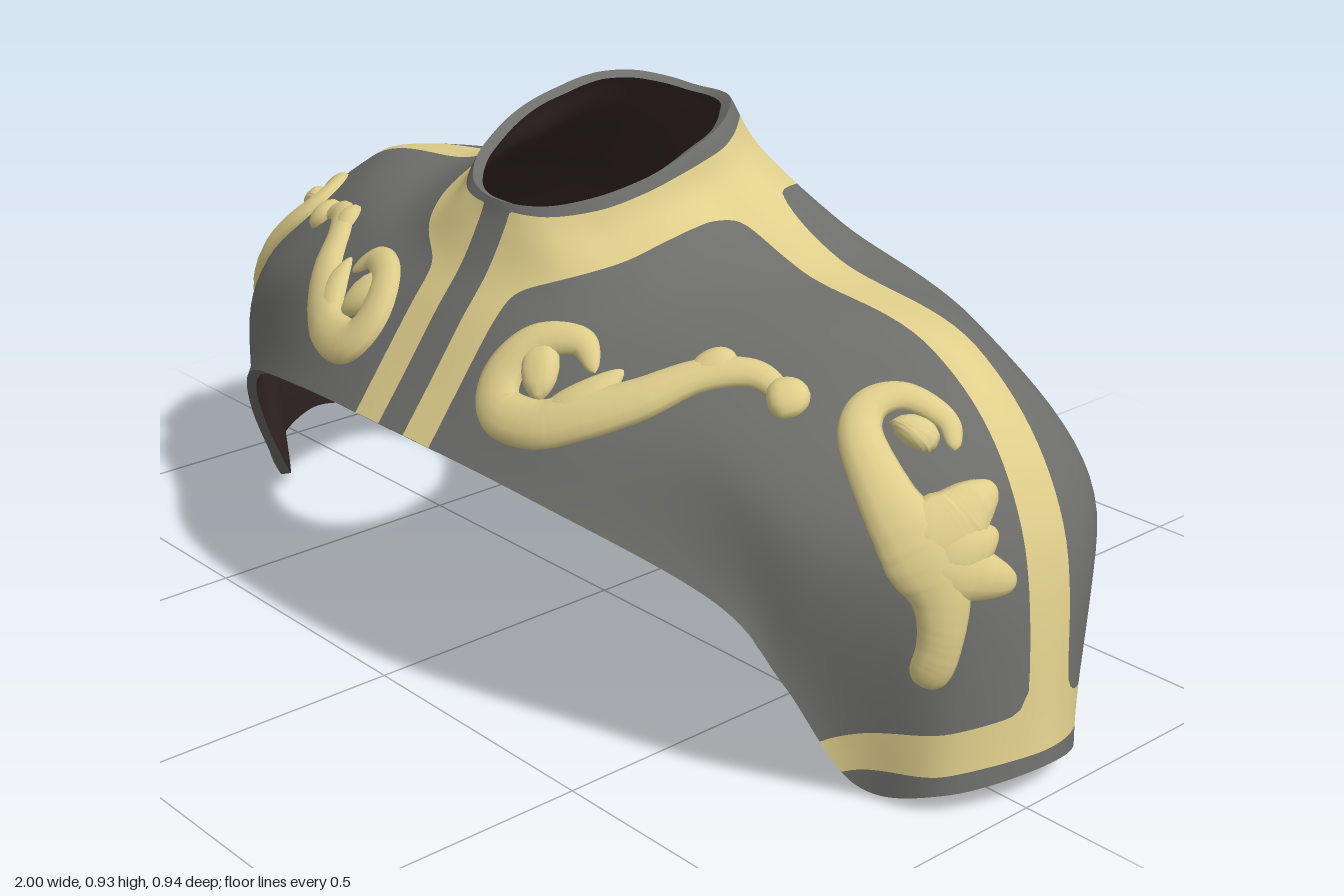
import * as THREE from 'three';

const V = (x, y, z) => new THREE.Vector3(x, y, z);
const material = (name, color) => Object.assign(new THREE.MeshStandardMaterial({ color }), { name });
const NU = 286, NT = 60, THICK = 0.02;

// Cross-section lines running from neck to hem, front centre round to the shoulder
const FRONT = [
  [0, .80, .235, 0, .76, .25, 0, .69, .29, 0, .62, .345, 0, .53, .41, 0, .45, .47],
  [.092, .805, .212, .12, .757, .235, .17, .69, .265, .23, .62, .32, .29, .53, .385, .34, .425, .44],
  [.158, .825, .155, .20, .765, .165, .30, .70, .19, .43, .64, .225, .55, .52, .295, .64, .33, .335],
  [.195, .85, .085, .235, .785, .095, .36, .715, .11, .58, .655, .125, .73, .46, .25, .735, .205, .275],
  [.208, .872, .03, .25, .80, .03, .40, .725, .03, .67, .665, .035, .84, .43, .17, .80, .02, .175],
  [.208, .89, -.02, .255, .805, -.025, .43, .725, -.03, .72, .67, -.03, .91, .44, .065, .93, .035, .115],
];
// Shoulder ridge round to the back centre
const BACK = [
  [.20, .905, -.07, .26, .815, -.08, .45, .725, -.08, .75, .665, -.08, .935, .44, -.06, 1, .06, -.04],
  [.187, .917, -.105, .25, .825, -.115, .435, .725, -.13, .73, .655, -.15, .935, .41, -.18, .945, .035, -.175],
  [.163, .927, -.14, .225, .835, -.155, .41, .725, -.185, .69, .64, -.215, .87, .39, -.285, .77, .005, -.23],
  [.122, .93, -.18, .175, .84, -.21, .33, .73, -.26, .54, .63, -.31, .70, .42, -.365, .69, .145, -.32],
  [.065, .925, -.208, .095, .84, -.24, .17, .735, -.30, .27, .62, -.37, .33, .45, -.44, .35, .285, -.45],
  [0, .92, -.217, 0, .84, -.245, 0, .74, -.30, 0, .62, -.37, 0, .46, -.44, 0, .34, -.472],
];

// Trim rule: positive inside the gold bands, negative on the plain cloth
function trim(p, t) {
  const ax = Math.abs(p.x), sag = 0.8 * (p.z + 0.04) ** 2, k = 0.016;
  const bands = [
    0.102 - ax,                                                        // front and back strips
    (0.25 + Math.max(0, 0.28 - ax) - t) * 0.5,                         // collar
    ax > 0.2 ? 0.045 - Math.abs(p.z + 0.05 + 0.055 * p.y) : -1,        // shoulder ridge
    0.155 - sag - p.y,                                                 // sleeve cuffs
  ];
  const union = k * Math.log(bands.reduce((s, b) => s + Math.exp(b / k), 0));
  return Math.min(union, ax - 0.034, (t - 0.065) * 0.5, p.y - 0.085 + sag);
}

// Sampled outer surface: grid[j][i] with j from neck to hem and i around the body
function sampleSurface() {
  const half = [...FRONT, ...BACK].map(a => Array.from({ length: 6 }, (_, k) => V(...a.slice(k * 3, k * 3 + 3))));
  const mirrored = half.slice(1, -1).reverse().map(l => l.map(p => V(-p.x, p.y, p.z)));
  const lines = [...half, ...mirrored].map(l => new THREE.CatmullRomCurve3(l, false, 'catmullrom', 0.5));
  const grid = [];
  for (let j = 0; j <= NT; j++) {
    const t = j / NT;
    const ring = new THREE.CatmullRomCurve3(lines.map(l => l.getPoint(t)), true, 'catmullrom', 0.5);
    grid.push(Array.from({ length: NU }, (_, i) => {
      const p = ring.getPoint(i / NU);
      return { p, g: trim(p, t) };
    }));
  }
  grid.forEach((row, j) => row.forEach((v, i) => {
    const du = row[(i + 1) % NU].p.clone().sub(row[(i + NU - 1) % NU].p);
    const dt = grid[Math.min(j + 1, NT)][i].p.clone().sub(grid[Math.max(j - 1, 0)][i].p);
    v.n = dt.cross(du).normalize();
  }));
  return grid;
}

// Keep the part of a polygon where sign * g is positive
function clip(poly, sign) {
  const out = [];
  poly.forEach((a, i) => {
    const b = poly[(i + 1) % poly.length], inA = a.g * sign > 0, inB = b.g * sign > 0;
    if (inA) out.push(a);
    if (inA !== inB) {
      const s = a.g / (a.g - b.g);
      out.push({ p: a.p.clone().lerp(b.p, s), n: a.n.clone().lerp(b.n, s).normalize(), g: 0 });
    }
  });
  return out;
}

function meshOf(name, polys, mat) {
  const pos = [], nor = [];
  for (const poly of polys)
    for (let k = 1; k + 1 < poly.length; k++)
      for (const v of [poly[0], poly[k], poly[k + 1]]) {
        pos.push(v.p.x, v.p.y, v.p.z);
        nor.push(v.n.x, v.n.y, v.n.z);
      }
  const g = new THREE.BufferGeometry();
  g.setAttribute('position', new THREE.Float32BufferAttribute(pos, 3));
  g.setAttribute('normal', new THREE.Float32BufferAttribute(nor, 3));
  const m = new THREE.Mesh(g, mat);
  m.name = name;
  return m;
}

// Point on the surface at (x, y) seen along z, or at (z, y) seen along x
function snap(verts, axis, side, a, b) {
  const other = axis === 'z' ? 'x' : 'z';
  const ta = axis === 'z' ? a * side : a, dir = axis === 'x' ? side : 1;
  let best = null, bd = Infinity;
  for (const v of verts) {
    const d = (v.p[other] - ta) ** 2 + (v.p.y - b) ** 2;
    if (d < bd && v.n[axis] * dir > 0.12 && v.p.x * side > 0.05) { bd = d; best = v; }
  }
  const off = V(0, b - best.p.y, 0);
  off[other] = ta - best.p[other];
  off[axis] = -off.dot(best.n) / best.n[axis];
  return { p: best.p.clone().add(off), n: best.n };
}

// Raised stroke lying on the surface, shallow underneath; path entries are [a, b, half width]
function stroke(verts, axis, side, path, mat) {
  const curve = new THREE.CatmullRomCurve3(path.map(q => V(...q)), false, 'catmullrom', 0.5);
  const S = 12 * path.length, K = 12, pos = [], idx = [];
  const spine = Array.from({ length: S + 1 }, (_, i) => {
    const c = curve.getPoint(i / S);
    return { ...snap(verts, axis, side, c.x, c.y), w: c.z };
  });
  spine.forEach((s, i) => {
    const tan = spine[Math.min(i + 1, S)].p.clone().sub(spine[Math.max(i - 1, 0)].p);
    const across = s.n.clone().cross(tan).normalize();
    const round = Math.max(0.03, Math.sqrt(1 - Math.abs(2 * i / S - 1) ** (path.length > 3 ? 10 : 3)));
    const w = s.w * round, h = Math.min(0.6 * s.w, 0.022) * round;
    for (let k = 0; k < K; k++) {
      const f = k / K * Math.PI * 2, up = Math.sin(f);
      const q = s.p.clone().addScaledVector(across, w * Math.cos(f)).addScaledVector(s.n, up > 0 ? h * up : 0.008 * up);
      pos.push(q.x, q.y, q.z);
      if (i < S) {
        const A = i * K + k, B = i * K + (k + 1) % K;
        idx.push(A, B, A + K, B, B + K, A + K);
      }
    }
  });
  const g = new THREE.BufferGeometry();
  g.setAttribute('position', new THREE.Float32BufferAttribute(pos, 3));
  g.setIndex(idx);
  g.computeVertexNormals();
  return new THREE.Mesh(g, mat);
}

const CHEST_SCROLL = [
  [[.33, .605, .02], [.275, .638, .027], [.205, .625, .034], [.178, .575, .04], [.205, .53, .042], [.28, .525, .042],
    [.35, .55, .042], [.42, .583, .038], [.48, .622, .03], [.55, .635, .026], [.62, .612, .024]],
  [[.215, .58, .045], [.24, .592, .055], [.27, .60, .045]],
  [[.29, .53, .036], [.345, .575, .032], [.37, .615, .016]],
  [[.47, .62, .026], [.495, .64, .03], [.52, .645, .02]],
  [[.595, .605, .032], [.615, .612, .036], [.64, .62, .03]],
];
const SHOULDER_SCROLL = [
  [[.03, .56, .018], [.015, .595, .02], [.04, .622, .024], [.09, .61, .03], [.13, .57, .036], [.145, .50, .046],
    [.13, .43, .062], [.115, .36, .045], [.12, .28, .036], [.135, .215, .046]],
  [[.085, .57, .032], [.065, .583, .04], [.045, .60, .03]],
  [[.14, .45, .05], [.09, .465, .058], [.045, .49, .042], [-.005, .512, .016]],
  [[.13, .43, .05], [.08, .435, .05], [.015, .45, .022]],
  [[.13, .41, .05], [.08, .40, .046], [.04, .385, .034], [0, .37, .016]],
];

export function createModel() {
  const cloth = material('grey cloth', 0x6e6e6b);
  const gold = material('pale gold', 0xdfce8b);
  const lining = material('dark lining', 0x322425);
  const model = new THREE.Group();
  model.name = 'shoulderCape';
  const grid = sampleSurface();
  const inset = v => ({ p: v.p.clone().addScaledVector(v.n, -THICK), n: v.n.clone().negate() });

  // Outer shell cut along the trim edges, and the inset lining
  const plain = [], bands = [], inner = [];
  for (let j = 0; j < NT; j++)
    for (let i = 0; i < NU; i++) {
      const k = (i + 1) % NU;
      const a = grid[j][i], b = grid[j + 1][i], c = grid[j + 1][k], d = grid[j][k];
      for (const tri of [[a, b, d], [b, c, d]]) {
        plain.push(clip(tri, -1));
        bands.push(clip(tri, 1));
      }
      inner.push([a, d, c, b].map(inset));
    }
  model.add(meshOf('capeCloth', plain, cloth), meshOf('goldTrim', bands, gold), meshOf('lining', inner, lining));

  // Rims closing the thickness at neck and hem
  for (const [name, j, next] of [['neckRim', 0, 1], ['hemRim', NT, NT - 1]]) {
    const rim = grid[j].map((v, i) => {
      const n = v.p.clone().sub(grid[next][i].p).normalize();
      return [{ p: v.p, n }, { p: inset(v).p, n }];
    });
    const quads = rim.map(([o, q], i) => {
      const [o2, q2] = rim[(i + 1) % NU];
      return j === 0 ? [o, o2, q2, q] : [o, q, q2, o2];
    });
    model.add(meshOf(name, quads, cloth));
  }

  // Embossed scrollwork on both sides
  const verts = grid.flat();
  for (const side of [1, -1])
    for (const [name, axis, paths] of [['ChestScroll', 'z', CHEST_SCROLL], ['ShoulderScroll', 'x', SHOULDER_SCROLL]]) {
      const group = new THREE.Group();
      group.name = (side > 0 ? 'left' : 'right') + name;
      paths.forEach(path => group.add(stroke(verts, axis, side, path, gold)));
      model.add(group);
    }
  return model;
}
